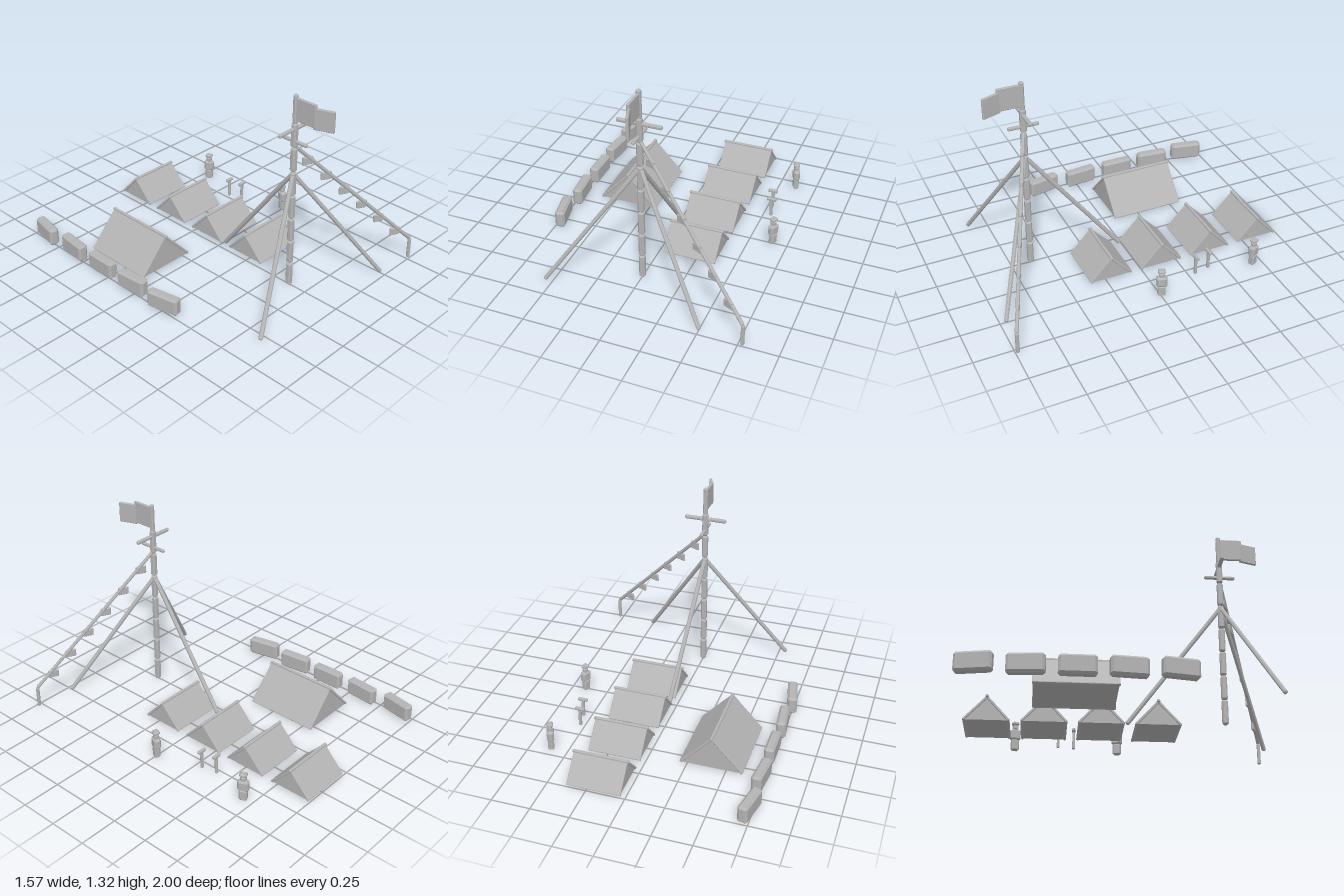
import * as THREE from 'three';
import { ConvexGeometry } from 'three/addons/geometries/ConvexGeometry.js';

const grey = new THREE.MeshStandardMaterial({ color: 0xb4b4b4 });
grey.name = 'grey';

// Box with single flat bevels on all edges
function bevelBox(w, h, d, c) {
  const pts = [];
  for (const x of [-1, 1]) for (const y of [-1, 1]) for (const z of [-1, 1]) {
    const [X, Y, Z] = [x * w / 2, y * h / 2, z * d / 2];
    pts.push(
      new THREE.Vector3(X, Y - y * c, Z - z * c),
      new THREE.Vector3(X - x * c, Y, Z - z * c),
      new THREE.Vector3(X - x * c, Y - y * c, Z));
  }
  return new ConvexGeometry(pts);
}

function box(parent, name, [w, h, d], [x, y, z], c = 0.005) {
  const mesh = new THREE.Mesh(bevelBox(w, h, d, c), grey);
  mesh.name = name;
  mesh.position.set(x, y, z);
  parent.add(mesh);
  return mesh;
}

// Square bar running from point a to point b
function beam(parent, name, a, b, t, c = 0.005) {
  const A = new THREE.Vector3(...a), B = new THREE.Vector3(...b);
  const mesh = box(parent, name, [t, A.distanceTo(B), t], A.clone().add(B).multiplyScalar(0.5).toArray(), c);
  mesh.quaternion.setFromUnitVectors(new THREE.Vector3(0, 1, 0), B.sub(A).normalize());
  return mesh;
}

function group(parent, name, x = 0, y = 0, z = 0, turn = 0) {
  const g = new THREE.Group();
  g.name = name;
  g.position.set(x, y, z);
  g.rotation.y = turn;
  parent.add(g);
  return g;
}

// Ridge tent along local x: closed body, two roof panels and a ridge pole
function tent(parent, name, x, z, length, halfWidth, height, turn = 0) {
  const g = group(parent, name, x, 0, z, turn);
  const t = 0.016, base = 0.01;
  const s = new THREE.Shape();
  s.moveTo(-halfWidth + 0.014, base + 0.003);
  s.lineTo(halfWidth - 0.014, base + 0.003);
  s.lineTo(0, height - 0.012);
  s.closePath();
  const bodyLength = length - 0.012;
  const geo = new THREE.ExtrudeGeometry(s, { depth: bodyLength, bevelEnabled: false });
  geo.translate(0, 0, -bodyLength / 2).rotateY(Math.PI / 2);
  const body = new THREE.Mesh(geo, grey);
  body.name = 'tentBody';
  g.add(body);
  const run = halfWidth - 0.007, rise = height - base - 0.006;
  for (const side of [-1, 1]) {
    const panel = box(g, 'roofPanel', [length, Math.hypot(run, rise), t],
      [0, base + rise / 2 + 0.002, side * run / 2], 0.003);
    panel.rotation.x = -side * Math.atan2(run, rise);
  }
  box(g, 'ridgePole', [length + 0.018, 0.02, 0.02], [0, height, 0]);
}

export function createModel() {
  const model = new THREE.Group();
  model.name = 'camp';
  const mz = 0.62;

  // Mast of stacked segments with a thinner top pole
  const mast = group(model, 'mast', 0, 0, mz);
  const step = 0.163;
  for (let i = 0; i < 7; i++)
    box(mast, 'mastSegment', [0.038, step - 0.004, 0.038], [0, 0.008 + step * (i + 0.5), 0], 0.009);
  box(mast, 'topPole', [0.03, 0.19, 0.03], [0, 1.235, 0], 0.008);
  box(mast, 'wideCrossbar', [0.285, 0.024, 0.024], [0, 1.108, 0], 0.006);
  box(mast, 'deepCrossbar', [0.022, 0.022, 0.2], [0, 1.028, 0], 0.006);

  // Flag in two panels, the outer one bent sideways
  box(mast, 'flagInner', [0.018, 0.15, 0.15], [0, 1.238, 0.08], 0.004);
  const outer = box(mast, 'flagOuter', [0.018, 0.136, 0.125], [0.021, 1.222, 0.198], 0.004);
  outer.rotation.y = 0.34;

  // Three stays bracing the mast
  for (const [x, z] of [[-0.55, 0.875], [0.503, 0.963], [0.055, 0.012]])
    beam(model, 'stay', [0, 0.81, mz], [x, 0.015, z], 0.026, 0.007);

  // Long line with hanging pennants, ending on a short post
  const end = [0.775, 0.152, 0.985];
  beam(model, 'pennantLine', [0, 1.0, mz], end, 0.022, 0.006);
  box(model, 'linePost', [0.021, 0.145, 0.021], [0.775, 0.08, 0.985], 0.005);
  for (let i = 0; i < 6; i++) {
    const x = 0.083 + i * 0.117;
    const p = box(model, 'pennant', [0.07, 0.052, 0.016], [x, 0.88 - i * 0.129, mz + x * 0.471], 0.004);
    p.rotation.y = -Math.atan2(0.365, 0.775);
  }

  // Row of small tents and one large tent
  for (let i = 0; i < 4; i++)
    tent(model, 'smallTent', 0.205, -0.85 + i * 0.3533, 0.348, 0.147, 0.166);
  tent(model, 'largeTent', -0.405, -0.322, 0.495, 0.206, 0.234, Math.PI / 2);

  // Curved wall of sandbags
  for (let i = 0; i < 5; i++) {
    const bag = box(model, 'sandbag', [0.065, 0.118, 0.218], [-0.733, 0.069, -0.89 + i * 0.285], 0.014);
    bag.rotation.y = (i - 2) * 0.1;
  }

  // Two standing figures
  for (const [x, z, turn] of [[0.612, -0.685, 0.42], [0.652, -0.005, -0.42]]) {
    const f = group(model, 'figure', x, 0, z, turn);
    box(f, 'legs', [0.038, 0.075, 0.05], [0, 0.046, 0], 0.008);
    box(f, 'torso', [0.045, 0.075, 0.07], [0, 0.115, 0], 0.012);
    box(f, 'head', [0.034, 0.035, 0.036], [0, 0.165, 0], 0.008);
    box(f, 'cap', [0.042, 0.025, 0.046], [0, 0.193, 0], 0.008);
  }

  // Two T-shaped posts
  for (const [x, z] of [[0.53, -0.4], [0.55, -0.298]]) {
    const p = group(model, 'signPost', x, 0, z);
    box(p, 'post', [0.02, 0.13, 0.018], [0, 0.073, 0], 0.004);
    box(p, 'postBar', [0.064, 0.022, 0.022], [0, 0.136, 0], 0.005);
  }
  return model;
}
